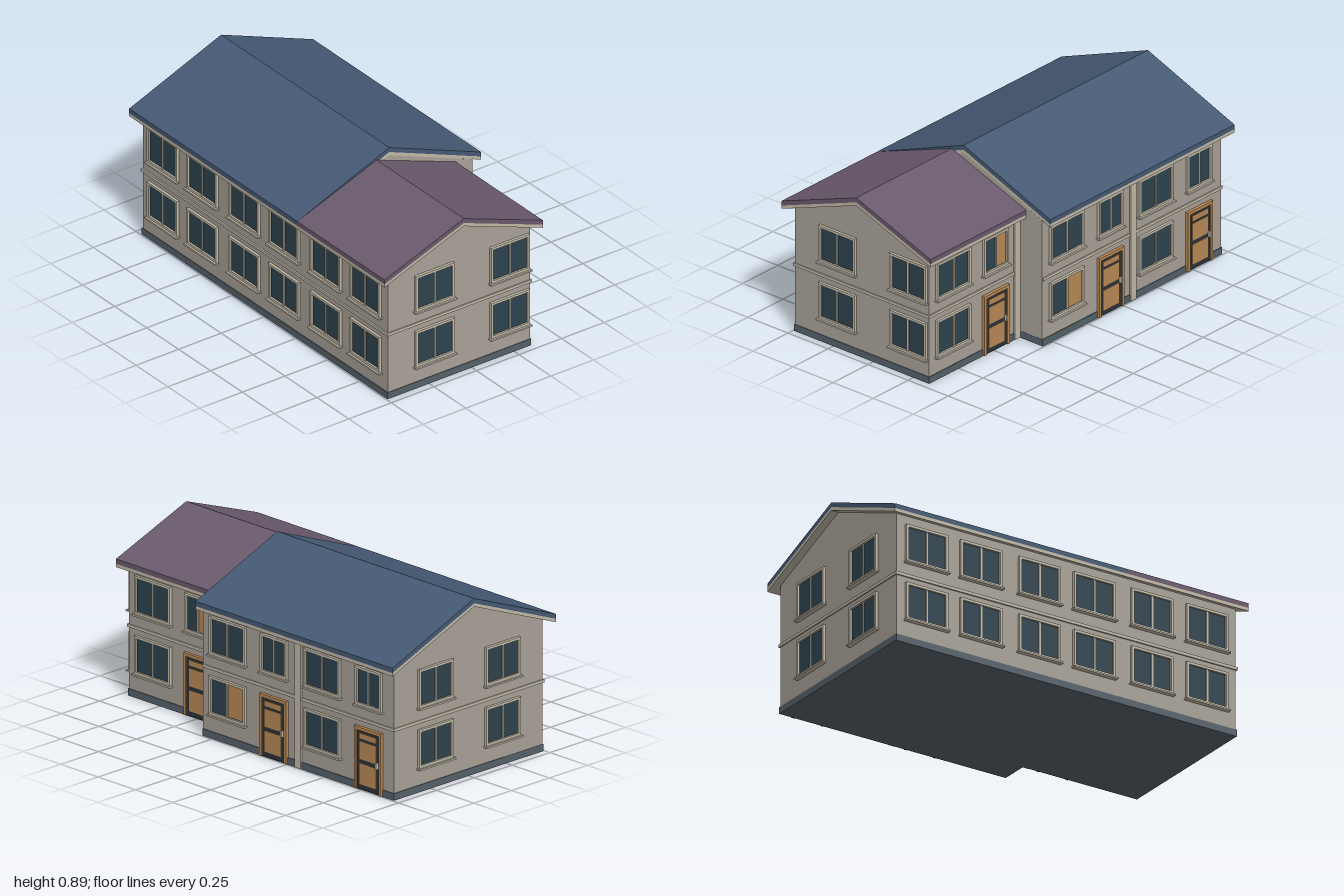
import * as THREE from 'three';

const mat = (color, side = THREE.FrontSide) =>
  new THREE.MeshStandardMaterial({ color, side });
const M = {
  wall: mat(0xa9a299), trim: mat(0xc2baa8), plinth: mat(0x56626a),
  glass: mat(0x2e434e), wood: mat(0xb98a55), dark: mat(0x2b3338),
  blueRoof: mat(0x465a74), purpleRoof: mat(0x6a5a6d),
};

// Box given by its min and max along each axis
function box(name, material, x0, x1, y0, y1, z0, z1) {
  const mesh = new THREE.Mesh(new THREE.BoxGeometry(x1 - x0, y1 - y0, z1 - z0), material);
  mesh.position.set((x0 + x1) / 2, (y0 + y1) / 2, (z0 + z1) / 2);
  mesh.name = name;
  return mesh;
}

// Extrude a (z, y) outline along x from x0 to x1
function prism(name, material, points, x0, x1) {
  const shape = new THREE.Shape(points.map(([z, y]) => new THREE.Vector2(-z, y)));
  const geo = new THREE.ExtrudeGeometry(shape, { depth: x1 - x0, bevelEnabled: false });
  geo.rotateY(Math.PI / 2);
  const mesh = new THREE.Mesh(geo, material);
  mesh.position.x = x0;
  mesh.name = name;
  return mesh;
}

// Sliding window facing +z: trim frame, two panes, mullion, sill
function makeWindow(w, y0, halfPanel) {
  const g = new THREE.Group();
  g.name = 'window';
  const h = 0.192, t = 0.013, x = w / 2, y1 = y0 + h;
  for (const s of [-1, 1]) {
    const c = s * (x - t / 2);
    g.add(box('frameSide', M.trim, c - t / 2, c + t / 2, y0, y1, 0, 0.014));
  }
  g.add(box('frameTop', M.trim, -x + t, x - t, y1 - t, y1, 0, 0.014));
  g.add(box('frameBottom', M.trim, -x + t, x - t, y0, y0 + t, 0, 0.014));
  g.add(box('gasket', M.dark, -x + t, x - t, y0 + t, y1 - t, 0, 0.004));
  const e = t + 0.004;
  g.add(box('leftPane', M.glass, -x + e, -0.004, y0 + e, y1 - e, 0, 0.006));
  g.add(box('rightPane', halfPanel ? M.wood : M.glass, 0.004, x - e, y0 + e, y1 - e, 0, 0.006));
  g.add(box('mullion', M.trim, -0.005, 0.005, y0 + t, y1 - t, 0, 0.011));
  g.add(box('sill', M.trim, -x - 0.007, x + 0.007, y0 - 0.008, y0, 0, 0.024));
  return g;
}

// Panelled door facing +z
function makeDoor() {
  const g = new THREE.Group();
  g.name = 'door';
  const x = 0.09, t = 0.016, top = 0.315;
  for (const s of [-1, 1]) {
    const c = s * (x - t / 2);
    g.add(box('doorJamb', M.wood, c - t / 2, c + t / 2, 0.004, top, 0, 0.016));
  }
  g.add(box('doorHead', M.wood, -x + t, x - t, top - t, top, 0, 0.016));
  g.add(box('doorLeaf', M.dark, -x + t, x - t, 0.006, top - t, 0, 0.01));
  for (const [a, b] of [[0.03, 0.135], [0.155, 0.245], [0.258, 0.285]])
    g.add(box('doorPanel', M.wood, -0.055, 0.055, a, b, 0, 0.013));
  g.add(box('handle', M.trim, 0.058, 0.068, 0.133, 0.163, 0, 0.024));
  return g;
}

export function createModel() {
  const model = new THREE.Group();
  model.name = 'house';

  // The two blocks: long main block and the shallower side wing
  const blocks = [
    { name: 'main', x: [-0.96, 0.317], back: -0.49, roofX: [-1, 0.317], eave: -0.54,
      ridge: [0, 0.895], roof: M.blueRoof, band: [-0.966, 0.316] },
    { name: 'wing', x: [0.317, 0.96], back: -0.345, roofX: [0.317, 1], eave: -0.39,
      ridge: [0.074, 0.853], roof: M.purpleRoof, band: [0.316, 0.966] },
  ];
  const front = 0.49, frontEave = 0.54, eaveY = 0.682, tile = 0.024, fascia = 0.017;
  for (const b of blocks) {
    const [rz, ry] = b.ridge, under = tile + fascia;
    model.add(prism(b.name + 'Walls', M.wall, [
      [front, 0.01], [front, 0.66], [rz, ry - under + 0.002], [b.back, 0.66], [b.back, 0.01],
    ], ...b.x));

    // Chevron roof layers: tiles over a pale fascia
    const layer = (name, material, drop, thick, x0, x1) => model.add(prism(name, material, [
      [frontEave, eaveY - drop], [rz, ry - drop], [b.eave, eaveY - drop],
      [b.eave, eaveY - drop - thick], [rz, ry - drop - thick], [frontEave, eaveY - drop - thick],
    ], x0, x1));
    layer(b.name + 'Roof', b.roof, 0, tile, ...b.roofX);
    layer(b.name + 'Fascia', M.trim, tile, fascia, ...b.roofX);

    // Plinth and the band between the floors
    const wingSide = b.name === 'wing' ? 0.002 : 0;
    model.add(box(b.name + 'Plinth', M.plinth, b.x[0] - (wingSide ? 0 : 0.003),
      b.x[1] + wingSide + 0.001, 0, 0.035, b.back - 0.004, front + 0.004));
    model.add(box(b.name + 'FloorBand', M.trim, ...b.band, 0.343, 0.358, b.back - 0.006, front + 0.008));
  }

  // Place an opening on a wall: side angle, position along the wall, wall distance
  const place = (part, angle, x, z) => {
    part.position.set(x, 0, z);
    part.rotation.y = angle;
    model.add(part);
  };
  const floors = [0.122, 0.422];

  floors.forEach((y, floor) => {
    // Front windows
    for (const x of [-0.793, -0.485, -0.155, 0.155, 0.482, 0.793])
      place(makeWindow(0.235, y), 0, x, front);
    // Gable windows
    for (const z of [-0.221, 0.221]) {
      place(makeWindow(0.228, y), Math.PI / 2, 0.96, z);
      place(makeWindow(0.228, y), -Math.PI / 2, -0.96, z);
    }
    // Back of each unit: wide windows, with a narrow window above each door
    const units = [[0.793, 0.49, -0.345], [0.147, -0.163, -0.49], [-0.487, -0.797, -0.49]];
    units.forEach(([wide, narrow, z], i) => {
      place(makeWindow(0.24, y, i === 1 && floor === 0), Math.PI, wide, z);
      if (floor === 1) place(makeWindow(0.175, y, i === 0), Math.PI, narrow, z);
      else place(makeDoor(), Math.PI, narrow, z);
    });
  });

  // Pilasters between the units on the back
  for (const [x, z] of [[-0.325, -0.49], [0.338, -0.345]])
    model.add(box('pilaster', M.trim, x - 0.019, x + 0.019, 0.002, 0.637, z - 0.01, z + 0.005));

  return model;
}
